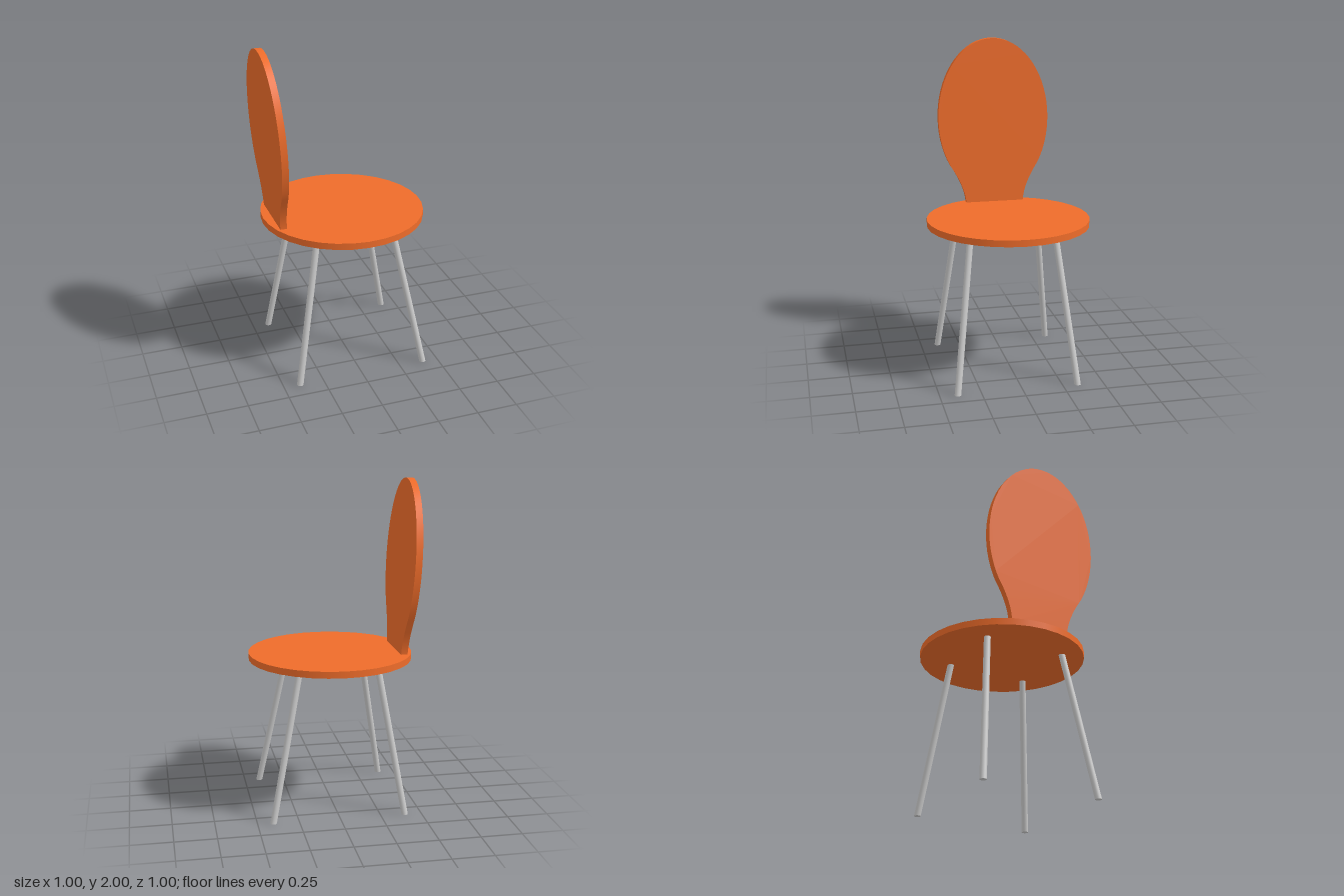
import * as THREE from 'three';
import { toCreasedNormals } from 'three/addons/utils/BufferGeometryUtils.js';

const orange = new THREE.MeshStandardMaterial({ color: 0xee6c2a });
const grey = new THREE.MeshStandardMaterial({ color: 0xcccccc });

// Shear a geometry sideways in proportion to height, keeping its ends level
function shear(geometry, dx, dz = 0) {
  const m = new THREE.Matrix4().set(1, dx, 0, 0, 0, 1, 0, 0, 0, dz, 1, 0, 0, 0, 0, 1);
  return geometry.applyMatrix4(m);
}

function addPart(group, name, geometry, material) {
  const mesh = new THREE.Mesh(geometry, material);
  mesh.name = name;
  group.add(mesh);
  return mesh;
}

export function createModel() {
  const group = new THREE.Group();
  group.name = 'chair';

  // Round seat
  const seat = new THREE.CylinderGeometry(0.4975, 0.4975, 0.04, 32);
  addPart(group, 'seat', seat, orange).position.set(0.002, 0.94, 0);

  // Oval backrest with a flared neck, leaning outwards
  const base = 0.95, centre = 1.5, joint = -Math.asin(0.6);
  const outline = new THREE.Shape();
  outline.moveTo(-0.185, base);
  outline.lineTo(0.185, base);
  outline.quadraticCurveTo(0.19, 1.06, 0.283, 1.2);
  outline.absellipse(0, centre, 0.354, 0.5, joint, Math.PI - joint, false);
  outline.quadraticCurveTo(-0.19, 1.06, -0.185, base);
  let back = new THREE.ExtrudeGeometry(outline, { depth: 0.04, bevelEnabled: false, curveSegments: 24 });
  back.rotateY(Math.PI / 2).translate(0, -0.96, 0);
  back = toCreasedNormals(shear(back, -0.06), 0.6);
  addPart(group, 'backrest', back, orange).position.set(-0.44, 0.96, 0);

  // Four splayed legs with level feet
  const height = 0.92;
  const xs = [{ side: 'left', foot: 0.405, top: 0.222 }, { side: 'right', foot: -0.398, top: -0.243 }];
  const zs = [{ end: 'front', foot: 0.392, top: 0.275 }, { end: 'back', foot: -0.342, top: -0.237 }];
  for (const x of xs) {
    for (const z of zs) {
      const leg = new THREE.CylinderGeometry(0.02, 0.02, height, 16).translate(0, height / 2, 0);
      shear(leg, (x.top - x.foot) / height, (z.top - z.foot) / height);
      addPart(group, `${z.end} ${x.side} leg`, leg, grey).position.set(x.foot, 0, z.foot);
    }
  }
  return group;
}
